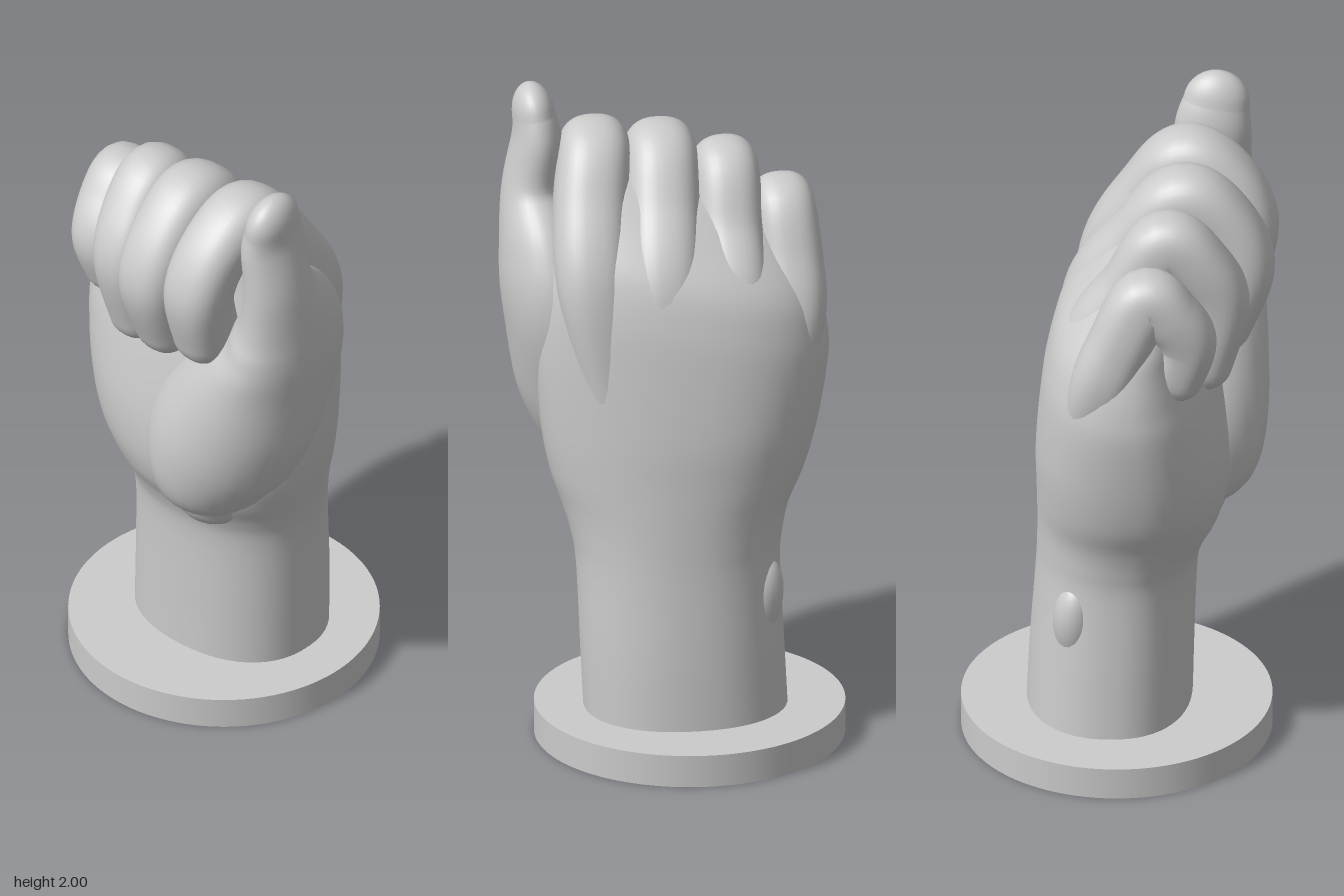
import * as THREE from 'three';

const material = new THREE.MeshStandardMaterial({ color: 0xcccccc });

function addMesh(parent, name, geometry) {
  const mesh = new THREE.Mesh(geometry, material);
  mesh.name = name;
  parent.add(mesh);
  return mesh;
}

// Smoothly resample a table of rows, column by column
function resample(rows, count) {
  const splines = rows[0].map((_, c) => new THREE.SplineCurve(rows.map((r, i) => new THREE.Vector2(i, r[c]))));
  return Array.from({ length: count + 1 }, (_, i) => splines.map((s) => s.getPoint(i / count).y));
}

// Cosine or sine value bent towards a squarer outline
const squared = (v, exponent) => Math.sign(v) * Math.abs(v) ** (2 / exponent);

// Skin closed rings of equal point count
function skin(rings) {
  const n = rings[0].length;
  const index = [];
  for (let i = 0; i < rings.length - 1; i++) {
    for (let j = 0; j < n; j++) {
      const a = i * n + j, b = i * n + ((j + 1) % n);
      index.push(a, b, a + n, b, b + n, a + n);
    }
  }
  const geometry = new THREE.BufferGeometry().setFromPoints(rings.flat());
  geometry.setIndex(index);
  geometry.computeVertexNormals();
  return geometry;
}

// Round-ended limb through rows of [x, y, z, half width, half depth]
function limb(rows, exponent, steps = 56, sides = 36) {
  const samples = resample(rows, steps);
  const centres = samples.map((s) => new THREE.Vector3(s[0], s[1], s[2]));
  const tangents = centres.map((_, i) =>
    centres[Math.min(i + 1, steps)].clone().sub(centres[Math.max(i - 1, 0)]).normalize());
  const ring = (i, shift, scale) => {
    const t = tangents[i];
    const side = new THREE.Vector3(1, 0, 0).addScaledVector(t, -t.x).normalize();
    const normal = t.clone().cross(side);
    return Array.from({ length: sides }, (_, j) => {
      const a = (j / sides) * Math.PI * 2;
      return centres[i].clone().addScaledVector(t, shift)
        .addScaledVector(side, samples[i][3] * scale * squared(Math.cos(a), exponent))
        .addScaledVector(normal, samples[i][4] * scale * squared(Math.sin(a), exponent));
    });
  };
  const rings = [];
  const capSteps = 8;
  for (let k = capSteps; k > 0; k--) {
    const a = (k / capSteps) * Math.PI / 2;
    rings.push(ring(0, -samples[0][4] * Math.sin(a), Math.cos(a)));
  }
  for (let i = 0; i <= steps; i++) rings.push(ring(i, 0, 1));
  for (let k = 1; k <= capSteps; k++) {
    const a = (k / capSteps) * Math.PI / 2;
    rings.push(ring(steps, samples[steps][4] * Math.sin(a), Math.cos(a)));
  }
  return skin(rings);
}

// Level rings from rows of [y, x min, x max, z back, z front, tilt towards the thumb, slant of the back]
function palmLoft(rows, sides = 56) {
  return skin(resample(rows, 72).map(([y, x0, x1, z0, z1, tilt, slant]) =>
    Array.from({ length: sides }, (_, j) => {
      const a = (j / sides) * Math.PI * 2;
      const back = Math.max(0, Math.sin(a));
      const x = (x0 + x1) / 2 + (x1 - x0) / 2 * squared(Math.cos(a), 2.2);
      const z = (z0 + z1) / 2 - (z1 - z0) / 2 * squared(Math.sin(a), back > 0 ? 2.1 : 2.35);
      return new THREE.Vector3(x, y + tilt * x, z + slant * x * back);
    })));
}

export function createModel() {
  const model = new THREE.Group();
  model.name = 'fistOnBase';

  // Round base
  addMesh(model, 'base', new THREE.CylinderGeometry(0.465, 0.465, 0.1, 96)).position.set(-0.045, 0.05, -0.005);

  // Wrist, palm and back of the hand
  addMesh(model, 'wristAndPalm', palmLoft([
    [0.08, -0.335, 0.275, -0.275, 0.22, 0, 0],
    [0.3, -0.325, 0.285, -0.265, 0.225, 0, 0],
    [0.55, -0.315, 0.295, -0.247, 0.235, 0, 0.02],
    [0.65, -0.325, 0.31, -0.242, 0.26, 0, 0.04],
    [0.74, -0.35, 0.335, -0.24, 0.305, 0, 0.06],
    [0.85, -0.4, 0.37, -0.238, 0.33, 0, 0.08],
    [1.0, -0.44, 0.395, -0.236, 0.33, 0, 0.1],
    [1.2, -0.468, 0.41, -0.22, 0.3, 0.05, 0.1],
    [1.35, -0.465, 0.4, -0.2, 0.27, 0.15, 0.1],
    [1.48, -0.445, 0.365, -0.16, 0.25, 0.22, 0.1],
    [1.59, -0.41, 0.33, -0.075, 0.24, 0.25, 0.08],
    [1.69, -0.33, 0.28, 0.025, 0.23, 0.25, 0.04],
    [1.73, -0.04, 0.0, 0.12, 0.13, 0.25, 0],
  ]));

  // Wrist bone
  const bone = addMesh(model, 'wristBone', new THREE.SphereGeometry(1, 24, 16));
  bone.scale.set(0.08, 0.15, 0.07);
  bone.position.set(-0.225, 0.44, -0.115);
  bone.rotation.z = 0.25;

  // Curled fingers: back of the hand, knuckle, first phalanx, bend, second phalanx, bend, tip
  const fingers = {
    indexFinger: [0.1, [0.2, 1.13, -0.065], [0.25, 1.45, -0.025], [0.24, 1.66, 0.085], [0.212, 1.79, 0.19],
      [0.195, 1.73, 0.31], [0.18, 1.6, 0.365], [0.172, 1.43, 0.325]],
    middleFinger: [0.1, [0.02, 1.1, -0.095], [0.04, 1.43, -0.06], [0.025, 1.63, 0.07], [0.01, 1.77, 0.19],
      [0.005, 1.7, 0.31], [0, 1.56, 0.365], [0, 1.37, 0.3]],
    ringFinger: [0.09, [-0.14, 1.08, -0.1], [-0.17, 1.38, -0.07], [-0.175, 1.57, 0.05], [-0.18, 1.73, 0.15],
      [-0.175, 1.65, 0.26], [-0.16, 1.52, 0.31], [-0.15, 1.315, 0.26]],
    littleFinger: [0.087, [-0.28, 1.02, -0.075], [-0.35, 1.31, -0.035], [-0.355, 1.48, 0.025], [-0.345, 1.625, 0.1],
      [-0.34, 1.57, 0.18], [-0.325, 1.48, 0.225], [-0.315, 1.365, 0.19]],
  };
  const swell = [0.9, 1.12, 1.12, 1.08, 1.03, 1, 0.88];
  for (const [name, [radius, ...path]] of Object.entries(fingers)) {
    const rows = path.map((p, i) => [...p, radius * swell[i], radius * (i > 0 && i < 4 ? 1.12 : 1)]);
    addMesh(model, name, limb(rows, 2.4));
  }

  // Thumb rising out of the ball of the palm
  addMesh(model, 'thumb', limb([
    [0.085, 0.75, 0.185, 0.14, 0.135],
    [0.1, 0.83, 0.2, 0.19, 0.205],
    [0.145, 0.97, 0.205, 0.235, 0.23],
    [0.24, 1.15, 0.2, 0.225, 0.23],
    [0.335, 1.35, 0.18, 0.16, 0.23],
    [0.373, 1.5, 0.2, 0.125, 0.195],
    [0.393, 1.66, 0.25, 0.09, 0.122],
    [0.375, 1.82, 0.255, 0.076, 0.115],
    [0.382, 1.9, 0.265, 0.064, 0.1],
  ], 2));

  return model;
}
